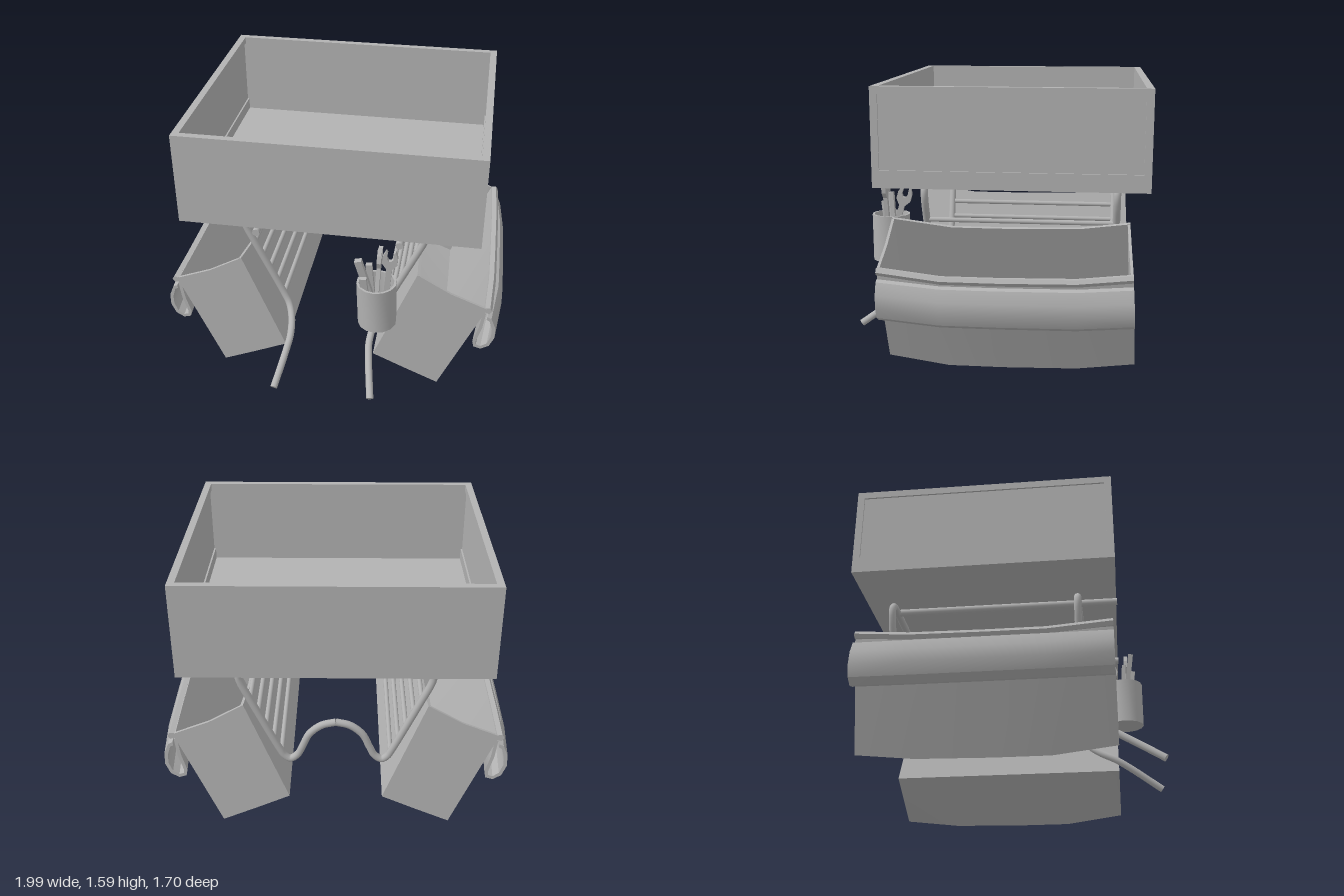
import * as THREE from 'three';
import { toCreasedNormals } from 'three/addons/utils/BufferGeometryUtils.js';

const V = (x, y, z) => new THREE.Vector3(x, y, z);

export function createModel() {
  const model = new THREE.Group();
  model.name = 'cargoRack';
  const grey = new THREE.MeshStandardMaterial({ color: 0xb2b2b2, side: THREE.DoubleSide });
  grey.name = 'plain grey';

  const add = (name, geometry, parent = model) => {
    const mesh = new THREE.Mesh(geometry, grey);
    mesh.name = name;
    parent.add(mesh);
    return mesh;
  };
  const box = (name, x0, x1, y0, y1, z0, z1, parent) =>
    add(name, new THREE.BoxGeometry(x1 - x0, y1 - y0, z1 - z0), parent)
      .position.set((x0 + x1) / 2, (y0 + y1) / 2, (z0 + z1) / 2);

  // Round tube through points, with flat end discs
  const tube = (name, pts, r, parent = model) => {
    const curve = new THREE.CatmullRomCurve3(pts, false, 'centripetal');
    add(name, new THREE.TubeGeometry(curve, pts.length * 8, r, 12), parent);
    [0, 1].forEach((t) => {
      const p = curve.getPoint(t);
      const dir = curve.getTangent(t).multiplyScalar(t ? 1 : -1);
      const disc = add(name + 'End', new THREE.CircleGeometry(r, 12), parent);
      disc.position.copy(p);
      disc.quaternion.setFromUnitVectors(V(0, 0, 1), dir);
    });
  };

  // Solid through matching closed rings, capped at both ends
  const loft = (rings, crease = 0.5) => {
    const n = rings[0].length, pos = [], idx = [];
    rings.forEach((ring) => ring.forEach((p) => pos.push(p.x, p.y, p.z)));
    for (let i = 0; i < rings.length - 1; i++) {
      for (let j = 0; j < n; j++) {
        const a = i * n + j, b = i * n + (j + 1) % n;
        idx.push(a, b, a + n, b, b + n, a + n);
      }
    }
    const flat = rings[0].map((p) => new THREE.Vector2(p.x, p.y));
    // Match the cap and side windings to the direction of the ring
    const ccw = THREE.ShapeUtils.area(flat) > 0;
    const last = (rings.length - 1) * n;
    if (ccw) for (let i = 0; i < idx.length; i += 3) [idx[i + 1], idx[i + 2]] = [idx[i + 2], idx[i + 1]];
    THREE.ShapeUtils.triangulateShape(flat, []).forEach(([a, b, c]) => {
      if (ccw) idx.push(a, b, c, last + a, last + c, last + b);
      else idx.push(a, c, b, last + a, last + b, last + c);
    });
    const g = new THREE.BufferGeometry();
    g.setAttribute('position', new THREE.Float32BufferAttribute(pos, 3));
    g.setIndex(idx);
    g.computeVertexNormals();
    return toCreasedNormals(g, crease);
  };

  // Open crate with recessed side panels
  const crate = new THREE.Group();
  crate.name = 'crate';
  model.add(crate);
  box('crateFloor', -0.84, 0.84, 1.065, 1.09, -0.85, 0.61, crate);
  box('crateFront', -0.84, 0.84, 1.065, 1.6, 0.57, 0.61, crate);
  box('crateBack', -0.84, 0.84, 1.065, 1.6, -0.85, -0.81, crate);
  [-1, 1].forEach((s) => {
    const a = s > 0 ? 0.8 : -0.84, b = a + 0.04;
    box('cratePanel', a + 0.01, b - 0.01, 1.14, 1.57, -0.82, 0.58, crate);
    box('crateLowerRail', a, b, 1.065, 1.16, -0.81, 0.57, crate);
    box('crateUpperRail', a, b, 1.56, 1.6, -0.81, 0.57, crate);
  });

  // Tubular frames: the back one dips into an arch, the front one ends in legs
  const r = 0.021, zFront = 0.39, zBack = -0.685;
  const shoulder = [[0.48, 0.83], [0.52, 0.92], [0.532, 0.965], [0.528, 1.0], [0.5, 1.025], [0.45, 1.03], [0.2, 1.03]];
  const arch = [[0.08, 0.645], [0.15, 0.585], [0.19, 0.5], [0.22, 0.44], [0.262, 0.412], [0.295, 0.435], [0.32, 0.48]];
  const mirrored = (pts) => [...pts, ...pts.slice().reverse().map((p) => V(-p.x, p.y, p.z))];
  const at = (z) => ([x, y]) => V(x, y, z);
  tube('backFrame', mirrored([V(0, 0.667, zBack), ...[...arch, ...shoulder].map(at(zBack))]), r);
  tube('frontFrame', mirrored([
    V(0.285, 0.105, 0.84), V(0.248, 0.235, 0.65), V(0.238, 0.285, 0.57),
    V(0.25, 0.34, 0.47), V(0.275, 0.395, 0.41), V(0.31, 0.46, zFront),
    ...shoulder.map(at(zFront)),
  ]), r);
  [-1, 1].forEach((s) => {
    tube('crateRail', [V(s * 0.4, 1.035, 0.615), V(s * 0.4, 1.035, -0.735)], r);
    for (let i = 0; i < 5; i++) {
      const y = 0.815 - i * 0.09, x = 0.475 - i * 0.041;
      tube('sideSlat', [V(s * x, y, zFront), V(s * x, y, zBack)], 0.014);
    }
  });

  // Pannier stations: [z, bulge], the rear one leaning with height
  const stations = [[0.583, 0], [0.24, 1], [-0.07, 1], [-0.48, 0.8], [-0.76, 0]];
  const zAt = (z, y) => (z < -0.7 ? z - (0.83 - y) * 0.055 : z);
  const ring = (pts, z) => pts.map(([x, y]) => V(x, y, zAt(z, y)));

  const wallSection = (k) => [
    [0.505 - 0.019 * k, 0.83 - 0.048 * k], [0.265, 0.225],
    [0.455 + 0.005 * k, 0.14 - 0.03 * k], [0.652 + 0.01 * k, 0.055 - 0.045 * k],
    [0.905 + 0.015 * k, 0.64 - 0.035 * k], [0.889 + 0.015 * k, 0.646 - 0.035 * k],
    [0.643 + 0.01 * k, 0.076 - 0.045 * k], [0.46 + 0.005 * k, 0.157 - 0.03 * k],
    [0.287, 0.234], [0.521 - 0.019 * k, 0.824 - 0.048 * k],
  ];
  const endPanel = [[0.505, 0.83], [0.265, 0.225], [0.455, 0.14], [0.652, 0.055], [0.905, 0.64], [0.70, 0.72]];
  const rimSection = (k) => [
    [0.893, 0.645], [0.898, 0.615], [0.92, 0.608], [0.935, 0.628], [0.922, 0.648],
  ].map(([x, y]) => [x + 0.015 * k, y - 0.035 * k]);

  // Rolled flap hung outside each pannier: outer curl followed by its hollow
  const curl = [[0.885, 0.615], [0.868, 0.5], [0.84, 0.40], [0.848, 0.362], [0.89, 0.35], [0.936, 0.377],
    [0.963, 0.44], [0.962, 0.51], [0.935, 0.575], [0.91, 0.585]];
  const hollow = [[0.908, 0.565], [0.926, 0.555], [0.943, 0.50], [0.943, 0.445],
    [0.922, 0.393], [0.888, 0.37], [0.862, 0.378], [0.86, 0.402], [0.888, 0.5], [0.902, 0.61]];
  const flapSection = (k) => [...curl, ...hollow].map(([x, y]) => [x + 0.034 * k, y - 0.018 * k]);

  const buildPannier = (name) => {
    const g = new THREE.Group();
    g.name = name;
    const sweep = (fn) => loft(stations.map(([z, k]) => ring(fn(k), z)));
    add('pannierWalls', sweep(wallSection), g);
    add('pannierRim', sweep(rimSection), g);
    add('rolledFlap', sweep(flapSection), g);
    add('pannierFrontEnd', loft([ring(endPanel, 0.584), ring(endPanel, 0.569)]), g);
    add('pannierBackEnd', loft([ring(endPanel, -0.746), ring(endPanel, -0.761)]), g);
    model.add(g);
    return g;
  };
  buildPannier('leftPannier');
  buildPannier('rightPannier').scale.x = -1;

  // Tool cup
  const cup = new THREE.Group();
  cup.name = 'toolCup';
  cup.position.set(0.292, 0.525, 0.64);
  cup.rotation.z = 0.03;
  model.add(cup);
  const profile = [[0, 0], [0.11, 0], [0.113, 0.275], [0.1, 0.275], [0.097, 0.02], [0, 0.02]]
    .map(([x, y]) => new THREE.Vector2(x, y));
  add('cupShell', toCreasedNormals(new THREE.LatheGeometry(profile, 14), 0.6), cup);

  // Tools, each aimed from a foot point to a tip point
  const aim = (mesh, from, to, turn = 0) => {
    mesh.position.copy(from);
    mesh.quaternion.setFromUnitVectors(V(0, 1, 0), to.clone().sub(from).normalize());
    mesh.rotateY(turn);
  };
  const wrench = (from, to, turn) => {
    const h = from.distanceTo(to);
    const half = [[0.016, 0], [0.016, h - 0.12], [0.042, h - 0.085], [0.042, h - 0.04], [0.026, h],
      [0.016, h - 0.012], [0.018, h - 0.05], [0.006, h - 0.066]];
    const shape = new THREE.Shape([...half, ...half.slice().reverse().map(([x, y]) => [-x, y])]
      .map(([x, y]) => new THREE.Vector2(x, y)));
    const geo = new THREE.ExtrudeGeometry(shape, { depth: 0.024, bevelEnabled: false });
    aim(add('wrench', geo.translate(0, 0, -0.012)), from, to, turn);
  };
  wrench(V(0.33, 0.56, 0.64), V(0.362, 1.03, 0.66), 0);
  wrench(V(0.28, 0.56, 0.66), V(0.29, 0.965, 0.54), Math.PI / 2);
  const bar = (from, to, w, d) => {
    const h = from.distanceTo(to);
    aim(add('toolBar', new THREE.BoxGeometry(w, h, d).translate(0, h / 2, 0)), from, to);
  };
  bar(V(0.29, 0.56, 0.63), V(0.185, 0.97, 0.69), 0.04, 0.03);
  bar(V(0.27, 0.56, 0.62), V(0.24, 0.92, 0.645), 0.035, 0.025);
  bar(V(0.24, 0.56, 0.66), V(0.215, 0.86, 0.7), 0.04, 0.025);

  return model;
}
